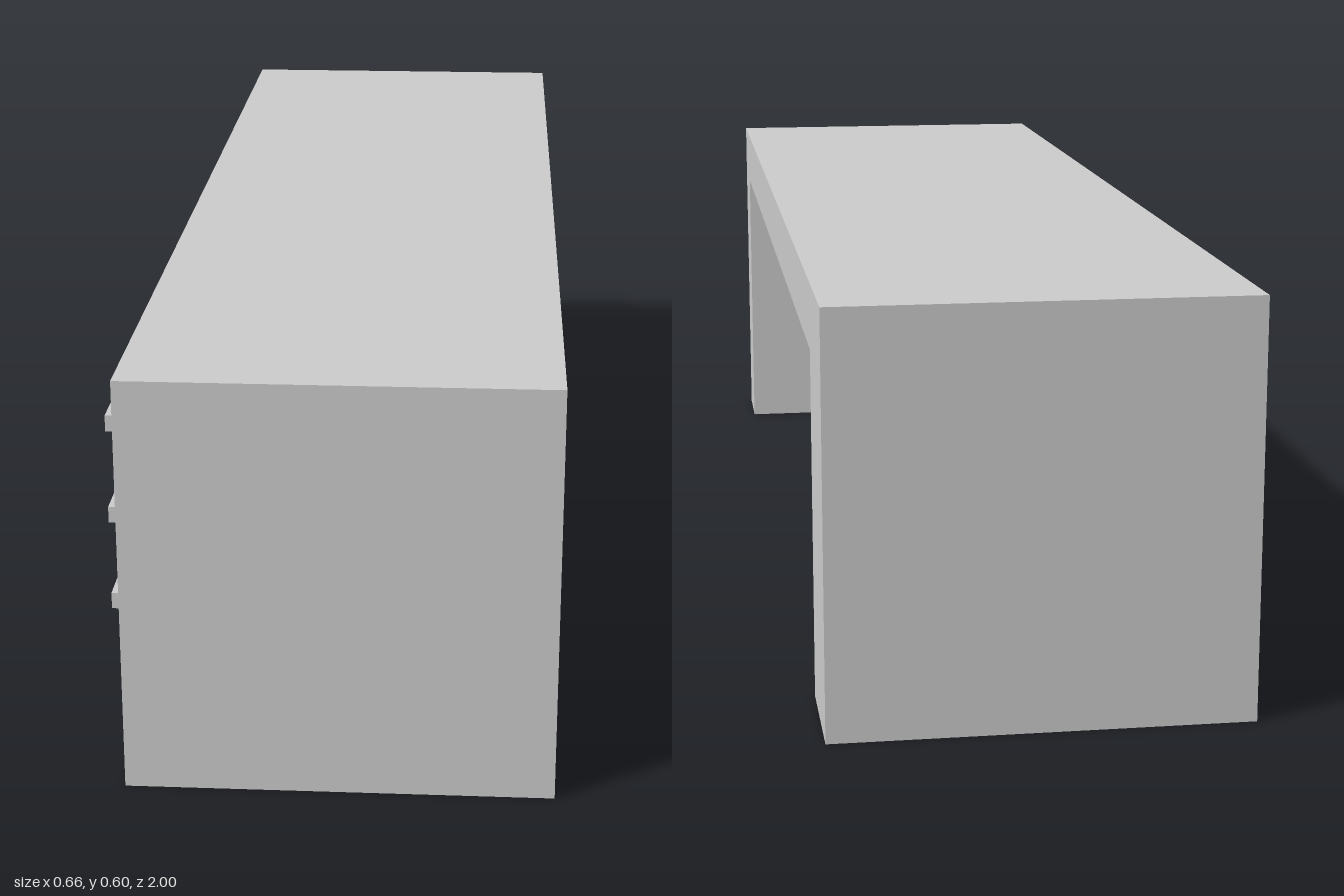
import * as THREE from 'three';

const material = new THREE.MeshStandardMaterial({ color: 0xcccccc });

// Extrude a closed outline and name the result
function extrude(name, points, depth) {
  const shape = new THREE.Shape(points.map(([a, b]) => new THREE.Vector2(a, b)));
  const geometry = new THREE.ExtrudeGeometry(shape, { depth, bevelEnabled: false });
  const mesh = new THREE.Mesh(geometry, material);
  mesh.name = name;
  return mesh;
}

export function createModel() {
  const model = new THREE.Group();
  model.name = 'desk';

  // Top and both slab legs as one bridge profile in (z, y), extruded across x
  const frame = extrude('deskFrame', [
    [-1, 0], [-0.817, 0], [-0.817, 0.507], [0.875, 0.507],
    [0.875, 0], [1, 0], [1, 0.602], [-1, 0.602],
  ], 0.6);
  frame.geometry.rotateY(-Math.PI / 2);
  frame.geometry.translate(0.329, 0, 0);
  model.add(frame);

  // Three stacked drawers with thin gaps, each with a U-shaped pull
  const front = -0.273, back = 0.064, zMin = 0.3, zMax = 0.873;
  const rows = [
    { bottom: 0.082, top: 0.219, pull: 0.142 },
    { bottom: 0.222, top: 0.36, pull: 0.281 },
    { bottom: 0.364, top: 0.504, pull: 0.425 },
  ];
  for (const { bottom, top, pull } of rows) {
    const drawer = new THREE.Group();
    drawer.name = 'drawer';

    const box = new THREE.Mesh(
      new THREE.BoxGeometry(back - front, top - bottom, zMax - zMin), material);
    box.name = 'drawerBox';
    box.position.set((front + back) / 2, (bottom + top) / 2, (zMin + zMax) / 2);

    // Outline in (x, -z), extruded upward
    const handle = extrude('drawerHandle', [
      [front, -0.725], [front, -0.709], [-0.316, -0.709], [-0.316, -0.471],
      [front, -0.471], [front, -0.455], [-0.33, -0.455], [-0.33, -0.725],
    ], 0.025);
    handle.geometry.rotateX(-Math.PI / 2);
    handle.position.y = pull;

    drawer.add(box, handle);
    model.add(drawer);
  }

  return model;
}
